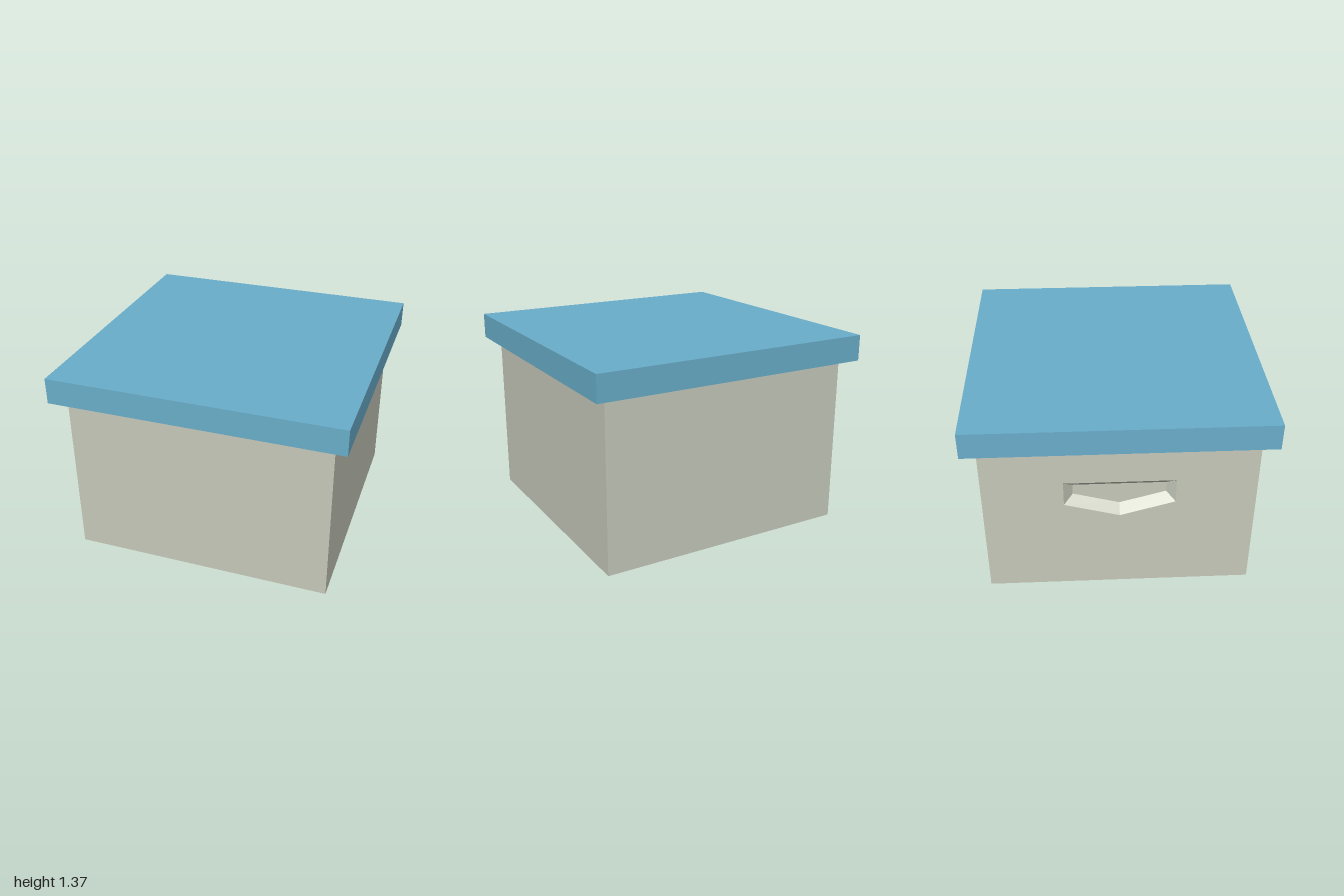
import * as THREE from 'three';

const BODY = 0.907, BODY_TOP = 1.27;      // half width and height of the box
const LID_BOTTOM = 1.187, LID_TOP = 1.367;
const DEPTH = 0.06;                       // depth of the handle recess

// Handle outline and its inset floor, counter-clockwise
const OUTER = [[-0.37, 0.71], [0, 0.605], [0.37, 0.71], [0.37, 0.89], [-0.37, 0.89]];
const INNER = [[-0.31, 0.755], [0, 0.667], [0.31, 0.755], [0.31, 0.83], [-0.31, 0.83]];

const toPoints = (list) => list.map(([x, y]) => new THREE.Vector2(x, y));

// Sloping sides that join the handle outline to its floor
function recessSides() {
  const pos = [];
  OUTER.forEach((a, i) => {
    const j = (i + 1) % OUTER.length;
    const b = OUTER[j], c = INNER[j], d = INNER[i];
    pos.push(...a, 0, ...b, 0, ...c, -DEPTH);
    pos.push(...a, 0, ...c, -DEPTH, ...d, -DEPTH);
  });
  const geo = new THREE.BufferGeometry();
  geo.setAttribute('position', new THREE.Float32BufferAttribute(pos, 3));
  geo.computeVertexNormals();
  return geo;
}

export function createModel() {
  const model = new THREE.Group();
  model.name = 'storageBox';
  const card = new THREE.MeshStandardMaterial({ color: 0xc6c9ba, side: THREE.DoubleSide });
  const blue = new THREE.MeshStandardMaterial({ color: 0x6aaeca, side: THREE.DoubleSide });

  const add = (parent, name, geometry, material) => {
    const mesh = new THREE.Mesh(geometry, material);
    mesh.name = name;
    parent.add(mesh);
    return mesh;
  };

  // Thin upright panel facing outward at the given turn about y
  const addWall = (parent, name, half, bottom, top, turn, material) => {
    const geo = new THREE.PlaneGeometry(half * 2, top - bottom);
    geo.translate(0, (top + bottom) / 2, half).rotateY(turn);
    return add(parent, name, geo, material);
  };

  const sides = [['front', 0], ['left', Math.PI / 2], ['back', Math.PI], ['right', -Math.PI / 2]];

  // Body: open at the bottom, three plain walls
  const body = new THREE.Group();
  body.name = 'body';
  model.add(body);
  for (const [side, turn] of sides.slice(0, 3)) {
    addWall(body, side + 'Wall', BODY, 0, BODY_TOP, turn, card);
  }

  // Right wall with a recessed handle
  const handleWall = new THREE.Group();
  handleWall.name = 'rightWall';
  handleWall.rotation.y = -Math.PI / 2;
  handleWall.position.x = -BODY;
  body.add(handleWall);
  const panel = new THREE.Shape(toPoints([[-BODY, 0], [BODY, 0], [BODY, BODY_TOP], [-BODY, BODY_TOP]]));
  panel.holes.push(new THREE.Path(toPoints(OUTER).reverse()));
  add(handleWall, 'handlePanel', new THREE.ShapeGeometry(panel), card);
  add(handleWall, 'handleSides', recessSides(), card);
  add(handleWall, 'handleFloor', new THREE.ShapeGeometry(new THREE.Shape(toPoints(INNER))), card)
    .position.z = -DEPTH;

  // Lid: hollow, overhanging the body
  const lid = new THREE.Group();
  lid.name = 'lid';
  model.add(lid);
  for (const [side, turn] of sides) {
    addWall(lid, side + 'LidEdge', 1, LID_BOTTOM, LID_TOP, turn, blue);
  }
  const top = new THREE.PlaneGeometry(2, 2).rotateX(-Math.PI / 2).translate(0, LID_TOP, 0);
  add(lid, 'lidTop', top, blue);

  return model;
}
